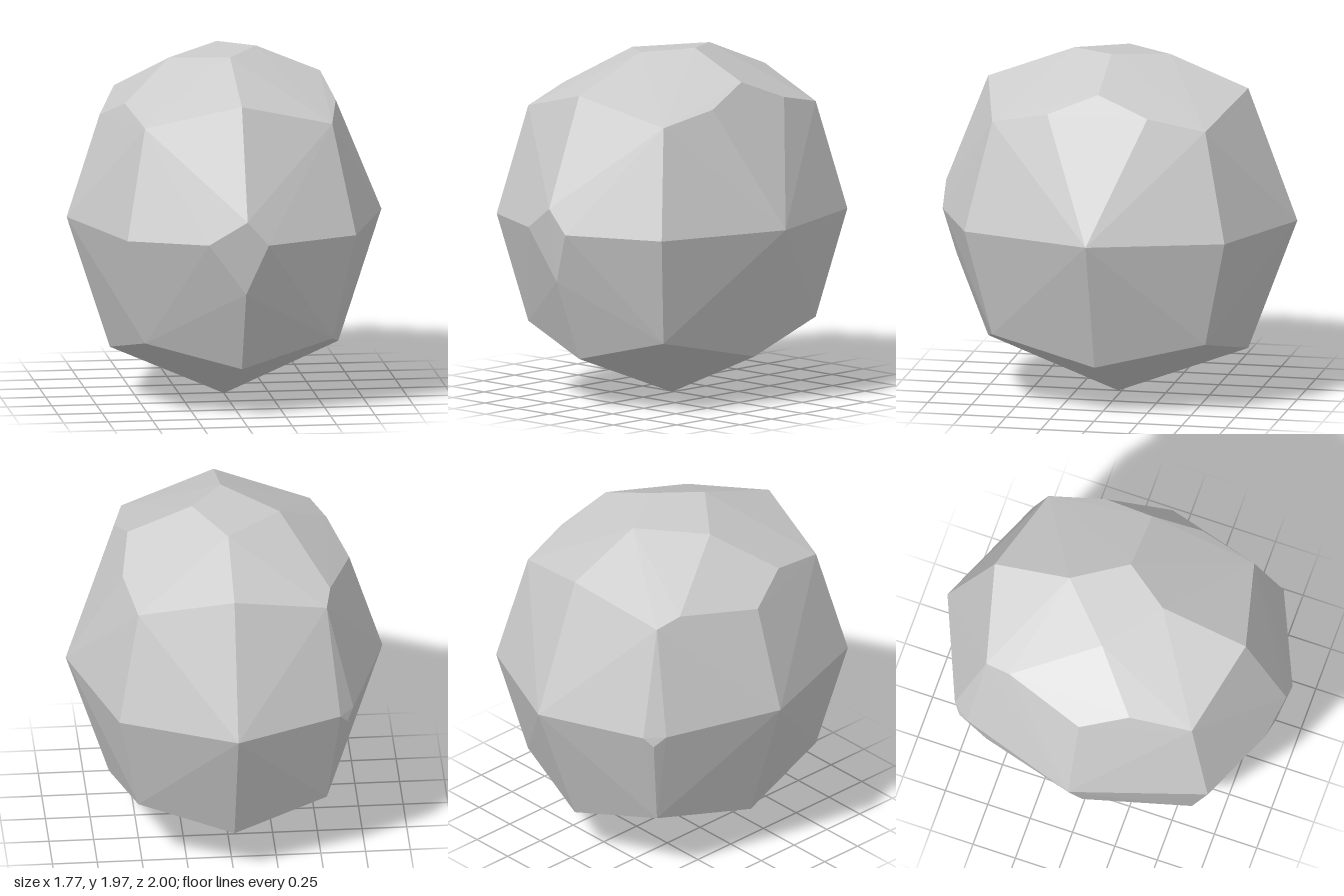
import * as THREE from 'three';
import { ConvexGeometry } from 'three/addons/geometries/ConvexGeometry.js';

export function createModel() {
  const group = new THREE.Group();
  group.name = 'rock';

  // Rounded 24-sided body: 6 tips, 12 edge points and 8 corners on a stretched lattice
  const centre = new THREE.Vector3(0, 1.025, 0.02);
  const radius = new THREE.Vector3(0.885, 1.025, 1.02);
  const scale = [0, 1, 0.726, 0.595]; // by number of non-zero directions
  // Lattice points that are chipped away
  const chipped = ['0,1,0', '0,0,1', '1,1,0', '-1,1,0', '-1,0,-1'];

  const points = [];
  for (const x of [-1, 0, 1]) for (const y of [-1, 0, 1]) for (const z of [-1, 0, 1]) {
    const n = Math.abs(x) + Math.abs(y) + Math.abs(z);
    if (n === 0 || chipped.includes([x, y, z].join())) continue;
    points.push(new THREE.Vector3(x, y, z).multiplyScalar(scale[n]).multiply(radius).add(centre));
  }

  // Outline of each chip
  const chips = [
    // top
    [-0.31, 1.915, 0.02], [0.18, 1.97, 0.02], [0, 1.955, 0.27], [0, 1.942, -0.28],
    // front
    [-0.21, 1.025, 0.95], [0.12, 1.025, 0.995], [0, 1.16, 1.0], [0, 0.74, 0.94],
    // upper +x side
    [0.54, 1.82, 0.02], [0.59, 1.706, 0.3], [0.59, 1.706, -0.27],
    // upper -x side
    [-0.70, 1.60, 0.02], [-0.593, 1.712, 0.28], [-0.557, 1.674, -0.44],
    // back edge on the -x side
    [-0.59, 1.025, -0.75], [-0.67, 1.025, -0.65], [-0.632, 0.97, -0.71],
  ];
  for (const p of chips) points.push(new THREE.Vector3(...p));

  const body = new THREE.Mesh(
    new ConvexGeometry(points),
    new THREE.MeshStandardMaterial({ color: 0xcccccc, flatShading: true })
  );
  body.name = 'rockBody';
  group.add(body);
  return group;
}
